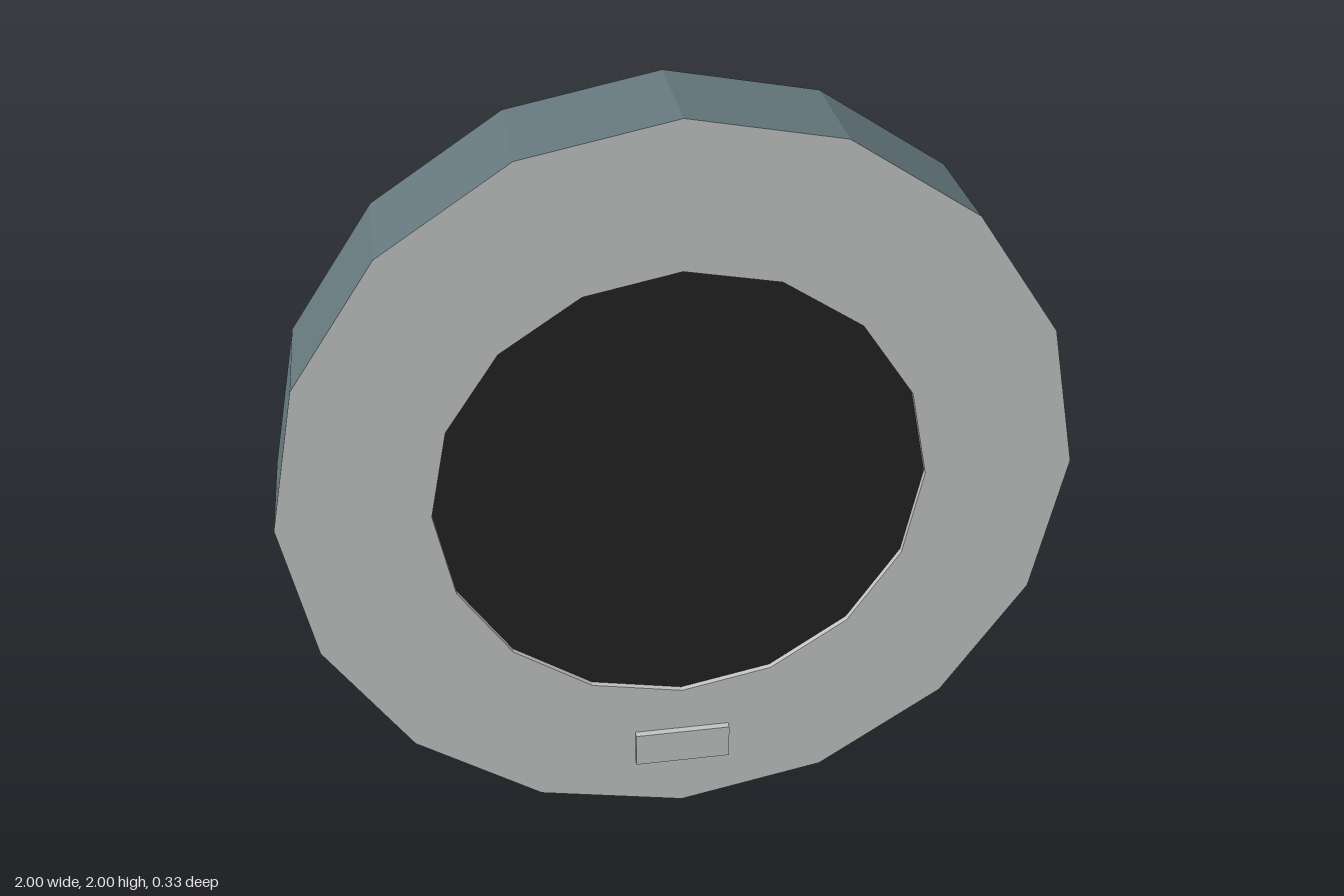
import * as THREE from 'three';

const SIDES = 16;
const FRONT = 0.146, BACK = -0.164; // z of the two faces
const HOLE = 0.62, RECESS = 0.015; // centre disc radius and depth

export function createModel() {
  const group = new THREE.Group();
  const slate = new THREE.MeshStandardMaterial({ color: 0x65787d, flatShading: true });
  const grey = new THREE.MeshStandardMaterial({ color: 0xc2c4c3, flatShading: true, side: THREE.DoubleSide });
  const black = new THREE.MeshStandardMaterial({ color: 0x222222, flatShading: true });
  slate.name = 'slate casing';
  grey.name = 'light grey face';
  black.name = 'black centre';

  const add = (name, geometry, material, y, z) => {
    const mesh = new THREE.Mesh(geometry, material);
    mesh.name = name;
    mesh.position.set(0, y, z);
    group.add(mesh);
  };
  // Open 16-sided tube along z
  const tube = (rFront, rBack, depth) =>
    new THREE.CylinderGeometry(rFront, rBack, depth, SIDES, 1, true).rotateX(Math.PI / 2);

  // Casing: slightly tapered rim and flat back
  add('rim', tube(1, 0.993, FRONT - BACK), slate, 1, (FRONT + BACK) / 2);
  add('backPanel', new THREE.CircleGeometry(0.993, SIDES).rotateY(Math.PI), slate, 1, BACK);

  // Front ring with a shallow recess holding the dark disc
  add('frontRing', new THREE.RingGeometry(HOLE, 1, SIDES), grey, 1, FRONT);
  add('recessWall', tube(HOLE, HOLE, RECESS), grey, 1, FRONT - RECESS / 2);
  add('centreDisc', new THREE.CircleGeometry(HOLE, SIDES), black, 1, FRONT - RECESS);

  // Small raised tab at the bottom of the ring
  add('tab', new THREE.BoxGeometry(0.252, 0.098, 0.018), grey, 0.204, FRONT + 0.009);

  return group;
}
